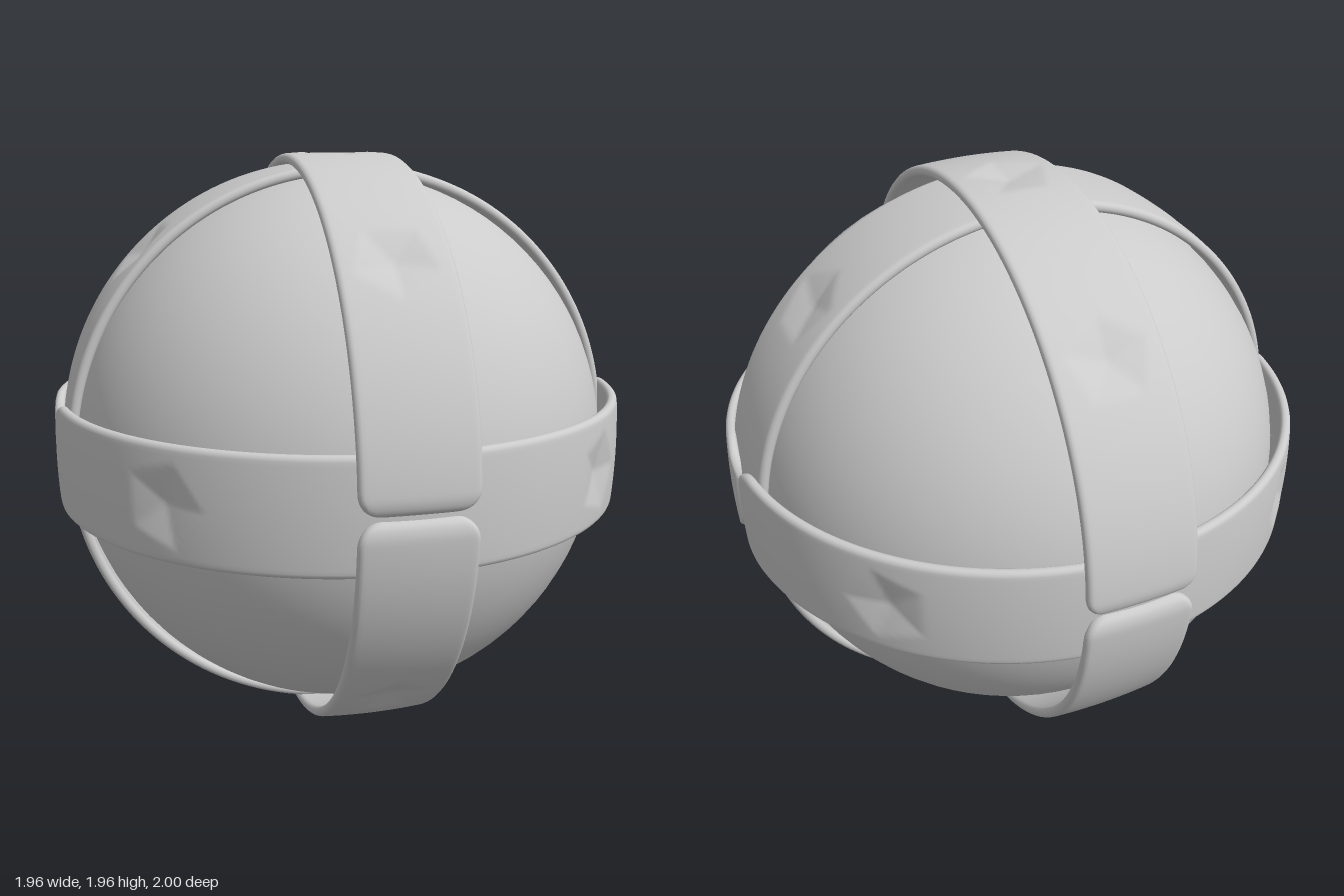
import * as THREE from 'three';

const CENTER_Y = 0.985;
const HALF_WIDTH = 0.183;
const HALF_THICK = 0.017;
const X = new THREE.Vector3(1, 0, 0);
const Y = new THREE.Vector3(0, 1, 0);
const Z = new THREE.Vector3(0, 0, 1);

// Depth of a faceted five-sided dimple at offset (s, w) from its middle
function dimple(s, w) {
  let edge = 0;
  for (let k = 0; k < 5; k++) {
    const a = (k / 5) * Math.PI * 2;
    edge = Math.max(edge, (s * Math.cos(a) + w * Math.sin(a)) / 0.113);
  }
  return edge < 1 ? 0.027 * (1 - edge) : 0;
}

// Rounded profile: 0 at the rim, 1 once further in than r
const roundOff = (d, r) => (d >= r ? 1 : Math.sqrt(Math.max(0, 1 - (1 - d / r) ** 2)));

// Fractions across the strap, closely spaced at its rounded edges
function widthSteps() {
  const edge = [0, 0.008, 0.025, 0.055, 0.095];
  const steps = edge.map((e) => -1 + e);
  for (let i = 1; i < 26; i++) steps.push(-0.905 + (1.81 * i) / 26);
  return steps.concat(edge.map((e) => 1 - e).reverse());
}

// Angles along the strap, closely spaced at its rounded ends
function angleSteps(start, end, count) {
  const tip = 0.16, n = 14, out = [];
  for (let i = 0; i < n; i++) out.push(start + tip * (i / n) ** 2);
  for (let i = 0; i <= count; i++) out.push(start + tip + ((end - start - 2 * tip) * i) / count);
  for (let i = n - 1; i >= 0; i--) out.push(end - tip * (i / n) ** 2);
  return out;
}

// A strap bent round the ball in the plane of u and v, with radii a and b
function strap(name, material, { u, v, a, b, start, end, endRadius = 0, dimples }) {
  const across = new THREE.Vector3().crossVectors(u, v);
  const angles = angleSteps(start, end, Math.round((end - start) * 55));
  const outer = widthSteps();
  const inner = outer.slice(1, -1).filter((f, i) => Math.abs(f) > 0.89 || i % 4 === 0).reverse();
  const loop = [...outer.map((f) => [f, 1]), ...inner.map((f) => [f, -1])];
  const n = loop.length;
  const pos = [], index = [];
  const p = new THREE.Vector3();

  angles.forEach((t, i) => {
    const s = Math.min(t - start, end - t) * a;
    let half = HALF_WIDTH, thick = HALF_THICK, dip = 0;
    if (endRadius) {
      half -= endRadius * (1 - roundOff(s, endRadius));
      thick *= roundOff(s, 0.02);
      dip = 0.018 * Math.max(0, 1 - s / 0.06) ** 2;
    }
    loop.forEach(([f, side], j) => {
      const w = f * half;
      let r = side * thick * roundOff(half - Math.abs(w), HALF_THICK) - dip;
      r -= 0.008 * (w / HALF_WIDTH) ** 2;
      if (side > 0) for (const d of dimples) r -= dimple((t - d) * a, w);
      p.set(0, 0, 0)
        .addScaledVector(u, Math.cos(t) * (a + r))
        .addScaledVector(v, Math.sin(t) * (b + r))
        .addScaledVector(across, w);
      pos.push(p.x, p.y, p.z);
      if (i < angles.length - 1) {
        const k = (j + 1) % n, q = i * n;
        index.push(q + j, q + n + j, q + k, q + k, q + n + j, q + n + k);
      }
    });
  });

  const geo = new THREE.BufferGeometry();
  geo.setAttribute('position', new THREE.Float32BufferAttribute(pos, 3));
  geo.setIndex(index);
  geo.computeVertexNormals();
  const mesh = new THREE.Mesh(geo, material);
  mesh.name = name;
  return mesh;
}

export function createModel() {
  const material = new THREE.MeshStandardMaterial({ color: 0xcccccc });
  const group = new THREE.Group();
  group.name = 'strappedBall';
  const body = new THREE.Group();
  body.name = 'ball';
  body.position.y = CENTER_Y;
  group.add(body);

  // Core
  const core = new THREE.Mesh(new THREE.SphereGeometry(0.92, 72, 48), material);
  core.name = 'core';
  body.add(core);

  const q = Math.PI / 4;

  // Innermost strap: one closed ring, its seam hidden beneath the top strap
  body.add(strap('innerRing', material, {
    u: Y, v: X, a: 0.938, b: 0.938, start: 0, end: Math.PI * 2, dimples: [q, 3 * q, 5 * q, 7 * q],
  }));

  // Middle and outer straps: two halves each, meeting end to end
  for (const side of [1, -1]) {
    body.add(strap(side > 0 ? 'frontHalfStrap' : 'backHalfStrap', material, {
      u: X, v: Z.clone().multiplyScalar(side), a: 0.967, b: 0.953,
      start: 0.015, end: Math.PI - 0.015, endRadius: 0.14, dimples: [q, 3 * q],
    }));
    body.add(strap(side > 0 ? 'upperHalfStrap' : 'lowerHalfStrap', material, {
      u: Z, v: Y.clone().multiplyScalar(side), a: 0.983, b: 0.968,
      start: 0.007, end: Math.PI - 0.007, endRadius: 0.075, dimples: [q, 2 * q, 3 * q],
    }));
  }
  return group;
}
